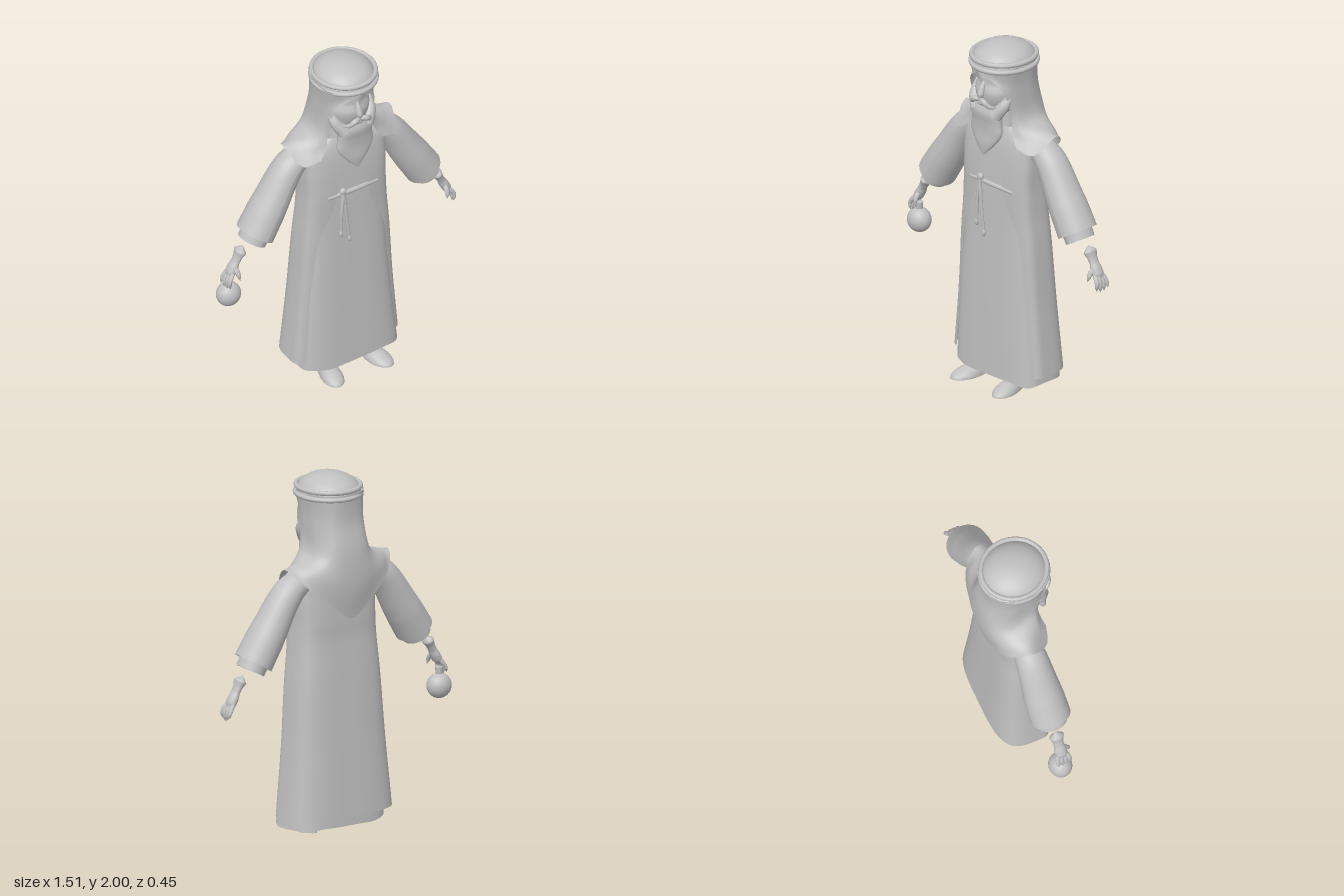
import * as THREE from 'three';

const V = (x, y, z) => new THREE.Vector3(x, y, z);
const clay = new THREE.MeshStandardMaterial({ color: 0xc0c0c0, side: THREE.DoubleSide });
clay.name = 'pale grey';

// Smooth skin through rows of points; columns are splined from row to row
function skin(rows, closed = false, steps = 32) {
  const n = rows[0].length, pos = [], idx = [];
  const cols = rows[0].map((_, i) => new THREE.CatmullRomCurve3(rows.map(r => r[i])).getPoints(steps));
  for (let j = 0; j <= steps; j++) for (let i = 0; i < n; i++) pos.push(...cols[i][j].toArray());
  for (let j = 0; j < steps; j++) {
    for (let i = 0; i < (closed ? n : n - 1); i++) {
      const a = j * n + i, b = j * n + (i + 1) % n;
      idx.push(a, a + n, b, b, a + n, b + n);
    }
  }
  const g = new THREE.BufferGeometry();
  g.setAttribute('position', new THREE.Float32BufferAttribute(pos, 3));
  g.setIndex(idx);
  g.computeVertexNormals();
  return g;
}

// Rounded-box cross-section at height y, starting at the back; T is the half sweep
function section(y, hw, zf, zb, T, n, cx = 0, e = 0.55, wave = 0) {
  const out = [], closed = T === Math.PI;
  const p = v => Math.sign(v) * Math.abs(v) ** e;
  for (let i = 0; i < n; i++) {
    const t = -T + 2 * T * i / (closed ? n : n - 1), z = p(-Math.cos(t));
    out.push(V(cx + hw * p(Math.sin(t)), y + wave * Math.sin(t * 5), z > 0 ? z * zf : z * zb));
  }
  return out;
}

// Tube whose radius follows evenly spaced values; zs widens it in z
function taper(points, radii, zs = 1, sides = 16, seg = 24) {
  const path = new THREE.CatmullRomCurve3(points.map(p => V(...p)));
  const g = new THREE.TubeGeometry(path, seg, 1, sides, false), a = g.attributes.position, v = V(0, 0, 0);
  for (let j = 0; j <= seg; j++) {
    const c = path.getPointAt(j / seg), f = j / seg * (radii.length - 1);
    const k = Math.min(Math.floor(f), radii.length - 2);
    const r = THREE.MathUtils.lerp(radii[k], radii[k + 1], f - k);
    for (let i = 0; i <= sides; i++) {
      const q = j * (sides + 1) + i;
      v.fromBufferAttribute(a, q).sub(c).multiplyScalar(r);
      a.setXYZ(q, c.x + v.x, c.y + v.y, c.z + v.z * zs);
    }
  }
  g.computeVertexNormals();
  return g;
}

const ball = (x, y, z, rx, ry, rz) => new THREE.SphereGeometry(1, 32, 24).scale(rx, ry, rz).translate(x, y, z);

export function createModel() {
  const model = new THREE.Group();
  const add = (name, g, parent = model) => {
    const m = new THREE.Mesh(g, clay);
    m.name = name;
    parent.add(m);
    return m;
  };

  // Inner robe: y, half width, front, back
  add('innerRobe', skin([
    [0.06, 0.3, 0.13, 0.2], [0.5, 0.27, 0.115, 0.175], [0.9, 0.24, 0.1, 0.15], [1.2, 0.22, 0.088, 0.135],
    [1.42, 0.2, 0.068, 0.125], [1.51, 0.1, 0.045, 0.09],
  ].map(([y, w, f, b], i) => section(y, w, f, b, Math.PI, 64, i ? 0 : 0.015, 0.55, i ? 0 : 0.006)), true));

  // Open coat: y, half width, front, back, x of the front edge
  add('coat', skin([
    [0.11, 0.335, 0.09, 0.215, 0.285], [0.5, 0.3, 0.088, 0.19, 0.25], [0.9, 0.272, 0.094, 0.165, 0.205],
    [1.1, 0.255, 0.098, 0.15, 0.115], [1.2, 0.25, 0.1, 0.15, 0.095], [1.35, 0.25, 0.092, 0.145, 0.09],
    [1.45, 0.235, 0.078, 0.14, 0.085], [1.53, 0.12, 0.055, 0.1, 0.06],
  ].map(([y, w, f, b, x]) => section(y, w, f, b, Math.PI - Math.asin((x / w) ** (1 / 0.55)), 72)), false, 48));

  // Belt with knot and hanging cords
  add('belt', taper([[-0.155, 1.175, 0.09], [0, 1.18, 0.1], [0.165, 1.175, 0.09]], [0.011, 0.013, 0.011]));
  add('beltKnot', ball(-0.065, 1.2, 0.107, 0.02, 0.021, 0.016));
  [[-0.085, 0.93], [-0.03, 0.88]].forEach(([x, y]) => {
    add('cord', taper([[-0.065, 1.19, 0.112], [(x - 0.075) / 2, 1.07, 0.115], [x, y, 0.116]], [0.011, 0.009, 0.007]));
    add('cordEnd', ball(x, y, 0.116, 0.011, 0.022, 0.011));
  });

  for (const s of [1, -1]) {
    const side = new THREE.Group();
    side.name = s > 0 ? 'leftLimbs' : 'rightLimbs';
    model.add(side);
    const limb = (name, pts, radii, zs, sides) =>
      add(name, taper(pts.map(([x, y, z]) => [s * x, y, z]), radii, zs, sides), side);

    // Sleeve, inner cuff and forearm
    limb('sleeve', [[0.2, 1.45, -0.045], [0.31, 1.385, -0.045], [0.44, 1.19, -0.04], [0.54, 1.03, -0.035]],
      [0.065, 0.083, 0.092, 0.102, 0.105], 1.08, 28);
    limb('cuff', [[0.48, 1.12, -0.037], [0.52, 1.06, -0.036], [0.56, 0.99, -0.035]], [0.08, 0.08, 0.078], 1.08, 24);
    limb('wrist', [[0.615, 0.975, -0.04], [0.655, 0.9, -0.04], [0.685, 0.845, -0.04], [0.71, 0.8, -0.04]],
      [0.001, 0.031, 0.023, 0.021, 0.026, 0.026, 0.012], 1.35);
    // Four fingers and a thumb
    for (let i = 0; i < 4; i++) {
      const z = -0.073 + i * 0.023, d = [0.02, 0.005, 0, 0.01][i];
      limb('finger', [[0.695, 0.83, -0.04 + (z + 0.04) * 0.7], [0.722, 0.79, z], [0.735 - i * 0.006, 0.735 + d, z]],
        [0.012, 0.013, 0.012, 0.011, 0.001], 1, 10);
    }
    limb('thumb', [[0.675, 0.865, -0.025], [0.672, 0.825, 0.005], [0.667, 0.79, 0.015]], [0.012, 0.015, 0.012, 0.001], 1, 10);

    // Leg and pointed shoe with a flat sole
    limb('leg', [[0.12, 0.45, -0.05], [0.13, 0.2, -0.04], [0.135, 0.03, -0.02]], [0.06, 0.045, 0.035]);
    const shoe = ball(0, 0, 0, 1, 1, 1), p = shoe.attributes.position;
    for (let i = 0; i < p.count; i++) {
      const z = p.getZ(i);
      const w = 0.058 + 0.012 * Math.sin(z * 2);
      p.setXYZ(i, s * (0.145 + p.getX(i) * w + z * 0.018), Math.max(0, p.getY(i)) * (0.062 - 0.02 * z), 0.09 + z * 0.135);
    }
    if (s < 0) shoe.index.array.reverse();
    shoe.computeVertexNormals();
    add('shoe', shoe, side);
  }

  // Round flask carried in the right hand
  add('flask', ball(-0.7, 0.68, -0.05, 0.07, 0.07, 0.064));
  add('flaskNeck', new THREE.CylinderGeometry(0.022, 0.018, 0.05, 20).translate(-0.7, 0.76, -0.05));

  // Head with recessed eye sockets
  const head = ball(0, 1.75, 0.025, 0.132, 0.17, 0.135), hp = head.attributes.position;
  for (let i = 0; i < hp.count; i++) {
    const x = hp.getX(i), y = hp.getY(i), z = hp.getZ(i);
    if (z > 0.05) hp.setZ(i, z - 0.022 * Math.exp(-(((y - 1.785) / 0.025) ** 2)) * (0.35 + Math.min(1, Math.abs(x) / 0.04) * 0.65));
  }
  head.computeVertexNormals();
  add('head', head);
  add('neck', new THREE.CylinderGeometry(0.075, 0.09, 0.2, 24).translate(0, 1.55, -0.01));
  add('nose', taper([[0, 1.8, 0.14], [0, 1.75, 0.163], [0, 1.715, 0.168], [0, 1.705, 0.15]], [0.008, 0.015, 0.02, 0.008]));
  add('lips', ball(0, 1.678, 0.155, 0.032, 0.016, 0.02));

  // Beard: y, half width, front and back depth, centre z
  add('beard', skin([
    [1.665, 0.075, 0.02, 0.05, 0.13], [1.62, 0.1, 0.04, 0.06, 0.125], [1.56, 0.108, 0.036, 0.05, 0.122],
    [1.5, 0.112, 0.03, 0.035, 0.125], [1.43, 0.065, 0.022, 0.022, 0.137], [1.365, 0.002, 0.003, 0.003, 0.15],
  ].map(([y, w, f, b, c]) => section(y, w, f, b, Math.PI, 32, 0, 0.9).map(q => q.setZ(q.z + c))), true));
  for (const s of [1, -1]) {
    add('moustache', taper([[0, 1.703, 0.168], [s * 0.035, 1.7, 0.18], [s * 0.065, 1.675, 0.165], [s * 0.095, 1.668, 0.13]],
      [0.012, 0.016, 0.012, 0.001], 1, 12));
    add('sideBeard', taper([[s * 0.13, 1.75, 0.06], [s * 0.115, 1.68, 0.1], [s * 0.07, 1.615, 0.125]], [0.012, 0.03, 0.04], 1, 14));
  }

  // Head cloth: half rows from the centre of the back to the front edge, mirrored
  const drape = [
    [[0, 1.91, -0.185], [0.1, 1.91, -0.16], [0.16, 1.91, -0.08], [0.17, 1.91, 0], [0.15, 1.9, 0.11], [0.005, 1.87, 0.185]],
    [[0, 1.76, -0.182], [0.1, 1.76, -0.162], [0.152, 1.76, -0.08], [0.158, 1.76, 0], [0.148, 1.77, 0.07], [0.12, 1.78, 0.13]],
    [[0, 1.59, -0.215], [0.11, 1.59, -0.195], [0.172, 1.58, -0.12], [0.18, 1.58, -0.03], [0.168, 1.59, 0.04], [0.14, 1.61, 0.075]],
    [[0, 1.4, -0.225], [0.13, 1.45, -0.21], [0.25, 1.5, -0.15], [0.285, 1.53, -0.05], [0.235, 1.5, 0.04], [0.155, 1.52, 0.08]],
    [[0, 1.22, -0.2], [0.13, 1.31, -0.2], [0.27, 1.43, -0.165], [0.345, 1.52, -0.06], [0.29, 1.425, 0.06], [0.2, 1.45, 0.095]],
  ].map(half => {
    const pts = half.slice(1).reverse().map(([x, y, z]) => V(-x, y, z)).concat(half.map(q => V(...q)));
    return new THREE.CatmullRomCurve3(pts).getPoints(60);
  });
  add('headCloth', skin(drape, false, 40));

  // Crown and the doubled head cord
  add('crown', new THREE.SphereGeometry(1, 40, 14, 0, Math.PI * 2, 0, Math.PI / 2).scale(0.17, 0.11, 0.185).translate(0.005, 1.89, 0));
  [[1.888, 0.174], [1.927, 0.17]].forEach(([y, r]) =>
    add('headCord', new THREE.TorusGeometry(1, 0.075, 12, 56).rotateX(Math.PI / 2).scale(r, 0.18, r * 1.06).translate(0.008, y, 0)));

  return model;
}
